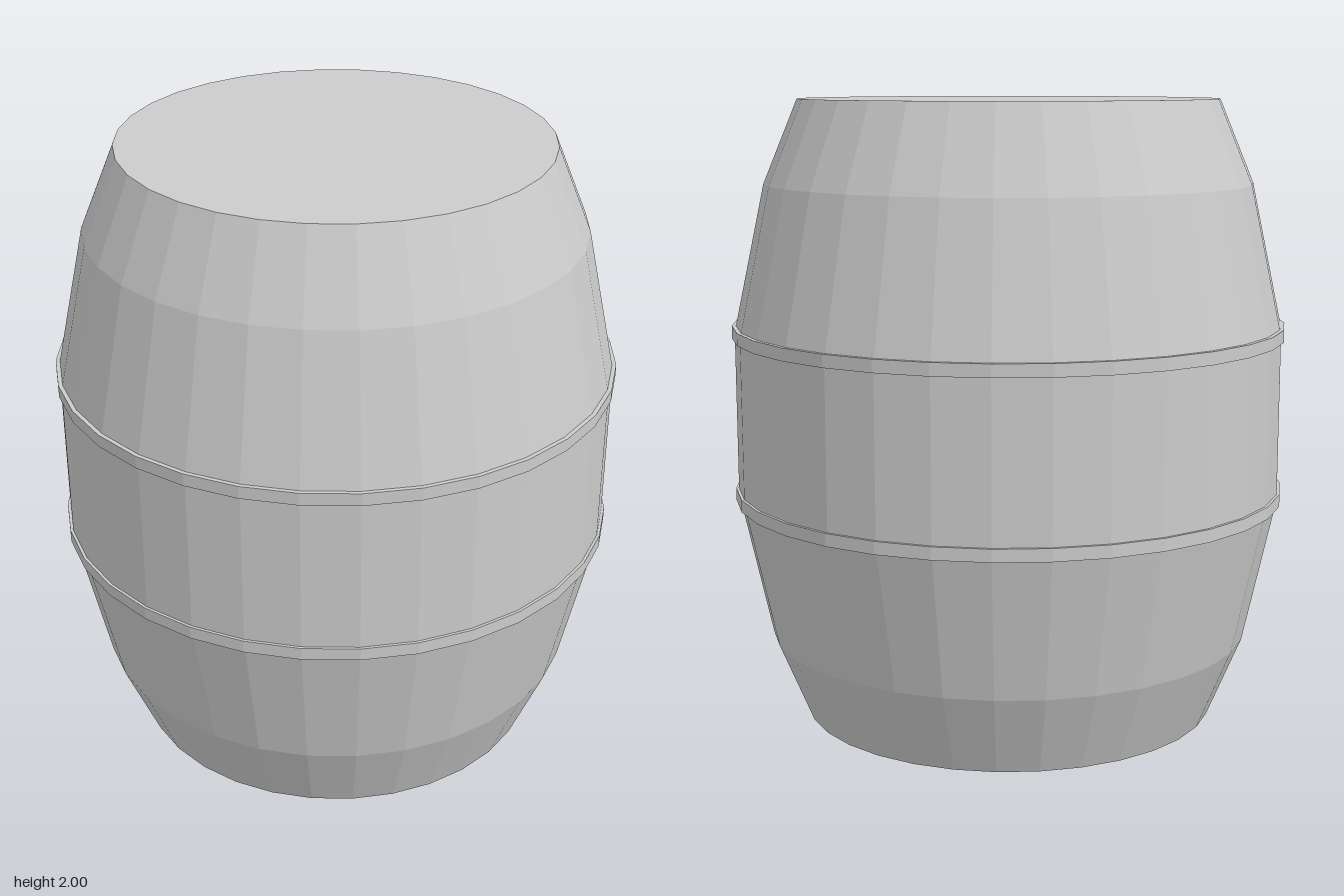
import * as THREE from 'three';

const SIDES = 32;

export function createModel() {
  const barrel = new THREE.Group();
  barrel.name = 'barrel';
  const material = new THREE.MeshStandardMaterial({ color: 0xcccccc, flatShading: true });

  // Turns [radius, height] pairs, listed from the bottom up on the outside
  const turn = (name, profile) => {
    const points = profile.map(([r, y]) => new THREE.Vector2(r, y));
    const mesh = new THREE.Mesh(new THREE.LatheGeometry(points, SIDES), material);
    mesh.name = name;
    barrel.add(mesh);
    return mesh;
  };

  // Bulging body with flat, closed ends
  turn('body', [
    [0, 0], [0.672, 0], [0.782, 0.265], [0.884, 0.735],
    [0.884, 1.265], [0.782, 1.735], [0.672, 2], [0, 2],
  ]);

  // Two thin hoops at the edges of the straight middle band
  const inner = 0.872, outer = 0.893, half = 0.02;
  [['lowerHoop', 0.735], ['upperHoop', 1.265]].forEach(([name, y]) => {
    const hoop = turn(name, [
      [inner, -half], [outer, -half], [outer, half], [inner, half], [inner, -half],
    ]);
    hoop.position.y = y;
  });

  return barrel;
}
